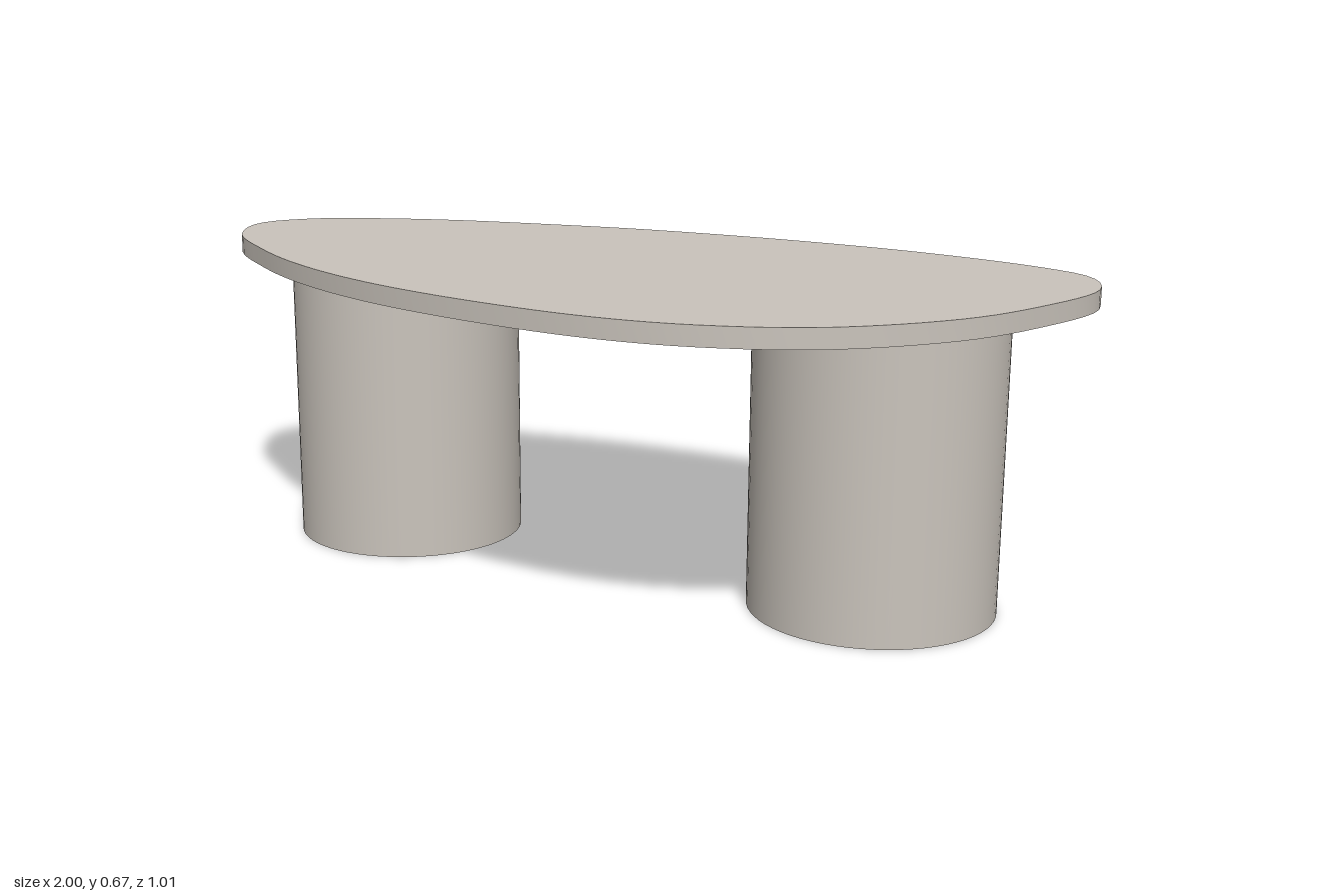
import * as THREE from 'three';
import { toCreasedNormals } from 'three/addons/utils/BufferGeometryUtils.js';

const TOP_Y = 0.665, THICK = 0.04, UNDER_Y = TOP_Y - THICK;

// Outline of the table top as [x, z], clockwise from the left tip
const OUTLINE = [
  [-1, -0.14], [-0.93, -0.26], [-0.79, -0.34], [-0.61, -0.405], [-0.4, -0.45],
  [-0.13, -0.492], [0.24, -0.505], [0.56, -0.48], [0.83, -0.415], [0.945, -0.35],
  [1, -0.21], [0.95, 0.01], [0.86, 0.2], [0.68, 0.385], [0.48, 0.475],
  [0.28, 0.503], [0, 0.478], [-0.29, 0.41], [-0.54, 0.305], [-0.74, 0.18], [-0.93, 0.02],
];

export function createModel() {
  const group = new THREE.Group();
  group.name = 'coffeeTable';
  const stone = new THREE.MeshStandardMaterial({ color: 0xcac4bc });
  stone.name = 'warm grey';

  // Pebble-shaped top with smooth sides and sharp rims
  const curve = new THREE.CatmullRomCurve3(
    OUTLINE.map(([x, z]) => new THREE.Vector3(x, -z, 0)), true, 'centripetal');
  const points = curve.getSpacedPoints(120).slice(0, -1);
  const shape = new THREE.Shape(points.map((p) => new THREE.Vector2(p.x, p.y)));
  const slab = new THREE.ExtrudeGeometry(shape, { depth: THICK, bevelEnabled: false });
  slab.rotateX(-Math.PI / 2);
  const top = new THREE.Mesh(toCreasedNormals(slab, Math.PI / 5), stone);
  top.name = 'tableTop';
  top.position.y = UNDER_Y;
  group.add(top);

  // Two drum legs
  for (const [name, x] of [['rightLeg', -0.525], ['leftLeg', 0.612]]) {
    const leg = new THREE.Mesh(new THREE.CylinderGeometry(0.254, 0.254, UNDER_Y, 64), stone);
    leg.name = name;
    leg.position.set(x, UNDER_Y / 2, -0.062);
    group.add(leg);
  }
  return group;
}
